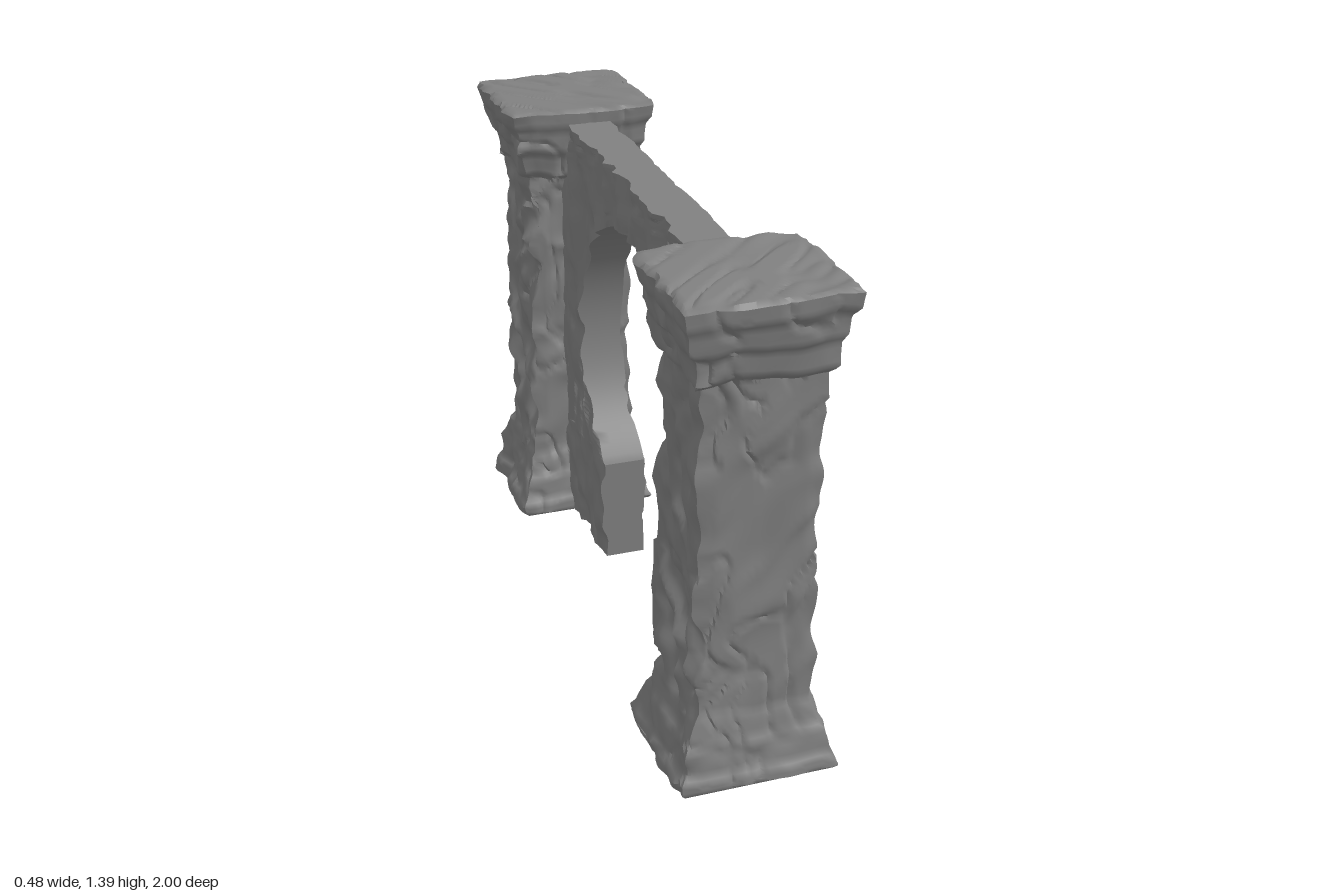
import * as THREE from 'three';
import { toCreasedNormals } from 'three/addons/utils/BufferGeometryUtils.js';

const stone = new THREE.MeshStandardMaterial({ color: 0x808080 });
const lerp = THREE.MathUtils.lerp;

// Seeded value noise, -1..1
function hash(x, y, z) {
  let h = (Math.imul(x, 374761393) + Math.imul(y, 668265263) + Math.imul(z, 1274126177)) | 0;
  h = Math.imul(h ^ (h >>> 13), 1103515245);
  return ((h ^ (h >>> 16)) >>> 0) / 2147483648 - 1;
}
function noise(x, y, z) {
  const X = Math.floor(x), Y = Math.floor(y), Z = Math.floor(z);
  const s = (t) => t * t * (3 - 2 * t);
  const u = s(x - X), v = s(y - Y), w = s(z - Z);
  const edge = (b, c) => lerp(hash(X, Y + b, Z + c), hash(X + 1, Y + b, Z + c), u);
  return lerp(lerp(edge(0, 0), edge(1, 0), v), lerp(edge(0, 1), edge(1, 1), v), w);
}
// Diagonal folds in the rock, leaning with the sign of lean
function folds(x, y, z, lean) {
  const d = y - 0.8 * x + 0.8 * lean * z + 0.05 * noise(x * 9, y * 6, z * 9);
  const crest = 1 - 2.4 * Math.abs(noise(x * 5 + 5, d * 9, z * 5));
  return 0.6 * crest + 0.5 * noise(x * 10, d * 12, z * 10 + 9);
}
// Broken, flaky rock with sharp crests
function flakes(x, y, z) {
  const a = 1 - 2.4 * Math.abs(noise(x * 7, y * 6 + z * 5, z * 13 + 3));
  return 0.6 * a + 0.4 * noise(x * 18, y * 17, z * 26);
}
// Narrow upright cracks, 0..1
function cracks(x, y, z) {
  const w = z + 0.06 * noise(x * 4, y * 9, z * 9);
  return Math.max(0, 1 - 7 * Math.abs(noise(x * 12, y * 5 + 7, w * 15)));
}

// Skin of closed loops, rows[i][j] = [x, y, z]
function loft(rows, crease) {
  const n = rows[0].length, index = [];
  for (let i = 0; i < rows.length - 1; i++) {
    for (let j = 0; j < n; j++) {
      const a = i * n + j, b = i * n + (j + 1) % n;
      index.push(a, b, a + n, b, b + n, a + n);
    }
  }
  const g = new THREE.BufferGeometry();
  g.setAttribute('position', new THREE.Float32BufferAttribute(rows.flat(2), 3));
  g.setIndex(index);
  return toCreasedNormals(g, crease);
}

// Square pillar profile: half width, height, steps to this point
const profile = [
  [0, 0.005, 0], [0.197, 0.005, 4], [0.206, 0.015, 1], [0.204, 0.04, 3], [0.188, 0.062, 2],
  [0.181, 0.125, 5], [0.168, 0.15, 2], [0.161, 0.19, 3], [0.149, 0.22, 2], [0.143, 0.7, 34],
  [0.146, 1.165, 33], [0.168, 1.185, 2], [0.176, 1.245, 5], [0.19, 1.265, 2], [0.196, 1.32, 5],
  [0.209, 1.345, 2], [0.212, 1.385, 4], [0.2, 1.395, 1], [0, 1.395, 20],
];

function makePillar(side) {
  const perSide = 32, rows = [];
  const corners = [[1, 1], [1, -1], [-1, -1], [-1, 1]];
  const addRow = (half, y) => {
    const row = [];
    const shaft = y > 0.2 && y < 1.18;
    const cap = half < 0.198 && (y > 1.39 || y < 0.01);
    corners.forEach(([ax, az], c) => {
      const [bx, bz] = corners[(c + 1) % 4];
      for (let k = 0; k < perSide; k++) {
        const t = k / perSide;
        const nx = lerp(ax, bx, t), nz = lerp(az, bz, t);
        // worn corners
        const corner = Math.max(0, Math.abs(nx * nz) - 0.75) * 4;
        const wear = cap ? 1 : 1 - 0.035 * corner * (0.6 + noise(nx * 2, y * 14, nz * 2 + side));
        const px = nx * half * 1.07 * wear, pz = nz * half * wear;
        const zs = pz + side * 0.782;
        // the -x face is more broken than the others
        const rough = nx < -0.9 ? 1 : 0;
        const out = cap ? 0 : (shaft ? 0.014 : 0.009) * folds(px, y, zs, side)
          - 0.008 * cracks(zs, y, px);
        const chip = cap ? 0 : rough * (shaft ? 0.03 : 0.015) * (flakes(px, y, zs) + 0.15);
        // grooves across the top, wavy mouldings
        const groove = Math.abs(noise((px + side * zs) * 13, (px - side * zs) * 3, 4));
        let lift = 0;
        if (y > 1.39) lift = -0.03 * Math.max(0, 0.3 - groove);
        else if (y > 0.03) lift = 0.012 * noise(px * 13, y * 5, zs * 13) * (y > 1.36 ? 0.4 : 1);
        row.push([0.01 + px + nx * out - chip, y + lift, zs + nz * out]);
      }
    });
    rows.push(row);
  };
  profile.forEach(([h, y, steps], i) => {
    if (!i) addRow(h, y);
    for (let k = 1; k <= steps; k++) {
      addRow(lerp(profile[i - 1][0], h, k / steps), lerp(profile[i - 1][1], y, k / steps));
    }
  });
  const pillar = new THREE.Mesh(loft(rows, 0.8), stone);
  pillar.name = side > 0 ? 'frontPillar' : 'backPillar';
  return pillar;
}

// Wall swept around the keyhole opening, from one foot over to the other
function makeWall() {
  const cy = 0.735, r = 0.46, top = 1.352, reach = 0.72, bottom = 0.015;
  const path = [];
  const foot = (z, y) => path.push([z, y, Math.sign(z) * reach, y]);
  for (let k = 0; k <= 18; k++) foot(0.25, lerp(bottom, 0.345, k / 18));
  const a0 = Math.atan2(0.348 - cy, 0.25), a1 = Math.PI - a0;
  for (let k = 0; k <= 120; k++) {
    const a = lerp(a0, a1, k / 120), c = Math.cos(a), s = Math.sin(a);
    const z = r * c - 0.004, y = cy + r * s;
    if (s <= 0) foot(z, y);
    else {
      const d = Math.min(reach / Math.max(Math.abs(c), 1e-6), (top - cy) / s);
      path.push([z, y, d * c, cy + d * s]);
    }
  }
  for (let k = 0; k <= 18; k++) foot(-0.24, lerp(0.345, bottom, k / 18));

  // section as [across, side]: +x face inward, rim, -x face outward, outer rim
  const section = [], steps = 40;
  for (let k = 0; k <= steps; k++) section.push([1 - k / steps, 1]);
  section.push([0, 0.33], [0, -0.33]);
  for (let k = 0; k <= steps; k++) section.push([k / steps, -1]);
  section.push([1, -0.33], [1, 0.33]);

  const rows = path.map(([z0, y0, z1, y1]) => section.map(([v, s]) => {
    const z = lerp(z0, z1, v), y = lerp(y0, y1, v);
    let x = 0.022 + s * 0.065;
    if (s === 1) x += 0.008 * folds(0.3, y, z, 1) - 0.01 * cracks(0.3, y, z);
    if (s === -1) x -= 0.017 * flakes(0.7, y, z) - 0.008 * cracks(0.7, y, z);
    return [x, y, z];
  }));
  // close the feet
  const close = (row) => {
    const m = [0, 1, 2].map((i) => row.reduce((t, p) => t + p[i], 0) / row.length);
    return row.map(() => m);
  };
  rows.unshift(close(rows[0]));
  rows.push(close(rows[rows.length - 1]));
  const wall = new THREE.Mesh(loft(rows, 0.7), stone);
  wall.name = 'archWall';
  return wall;
}

export function createModel() {
  const model = new THREE.Group();
  model.name = 'stoneArchway';
  model.add(makePillar(1), makePillar(-1), makeWall());
  return model;
}
